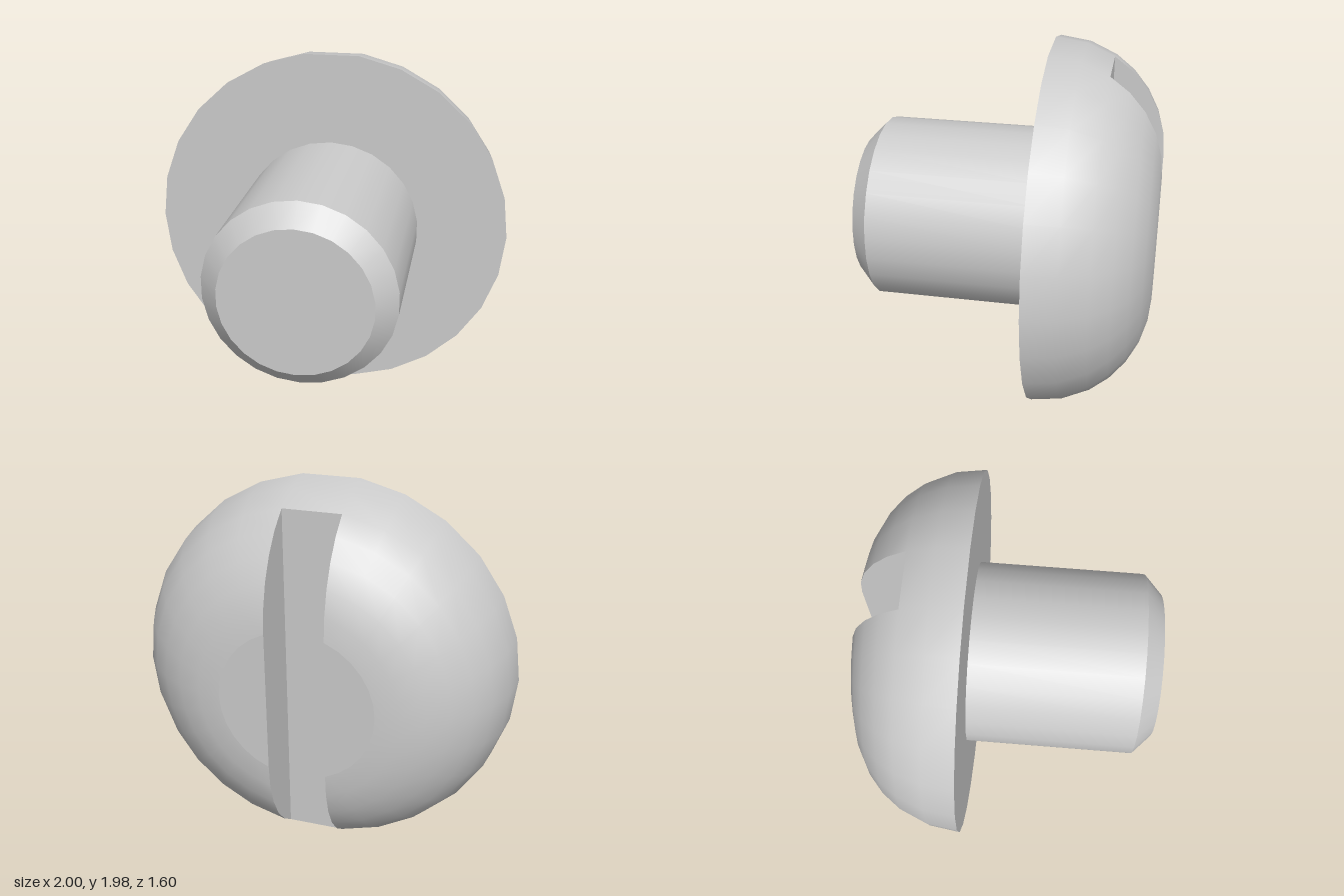
import * as THREE from 'three';

const material = new THREE.MeshStandardMaterial({ color: 0xcccccc });
const SLOT = 0.15;      // half width of the slot
const AXIS_Y = 1;       // height of the screw axis
const ARC = 12;         // segments on each side of the slot
const RING = 2 * (ARC + 1);
const FLOOR = 2;        // profile level where the slot floor lies

// Dome profile: quarter circle from the rim to a flat crown, as [radius, z]
const profile = [0, 16, 31.1, 43, 55, 67, 79, 90].map((deg) => {
  const t = THREE.MathUtils.degToRad(deg);
  return [0.4 + 0.6 * Math.cos(t), -0.2 - 0.6 * Math.sin(t)];
});
const TOP = profile.length - 1;

// Each ring has a right arc and a left arc, both ending exactly at the slot walls
const rings = profile.map(([r, z]) => {
  const a = Math.acos(SLOT / r);
  return Array.from({ length: RING }, (_, j) => {
    const left = j > ARC;
    const t = (left ? Math.PI : 0) - a + (2 * a * (left ? j - ARC - 1 : j)) / ARC;
    return new THREE.Vector3(r * Math.cos(t), AXIS_Y + r * Math.sin(t), z);
  });
});

function mesh(name, geometry) {
  const m = new THREE.Mesh(geometry, material);
  m.name = name;
  return m;
}

// Flat convex polygon, corners counter-clockwise from its front
function polygon(name, points) {
  const g = new THREE.BufferGeometry().setFromPoints(points);
  const index = [];
  for (let i = 1; i < points.length - 1; i++) index.push(0, i, i + 1);
  g.setIndex(index);
  g.computeVertexNormals();
  return mesh(name, g);
}

// Rounded skin of the head, left open across the slot
function dome() {
  const g = new THREE.BufferGeometry().setFromPoints(rings.flat());
  const index = [];
  for (let i = 0; i < TOP; i++) {
    for (let j = 0; j < RING; j++) {
      if (i >= FLOOR && (j === ARC || j === RING - 1)) continue;
      const k = (j + 1) % RING;
      const a = i * RING + j, b = i * RING + k;
      index.push(a, a + RING, b + RING, a, b + RING, b);
    }
  }
  g.setIndex(index);
  g.computeVertexNormals();
  return mesh('dome', g);
}

// Outline of a slot wall, running up one end and down the other
function wall(low, high) {
  const levels = rings.slice(FLOOR);
  return [...levels.map((r) => r[low]), ...levels.map((r) => r[high]).reverse()];
}

// Cylinder section along z, between z0 and z1
function section(name, r0, r1, z0, z1, open) {
  const g = new THREE.CylinderGeometry(r1, r0, z1 - z0, 26, 1, open);
  g.rotateX(Math.PI / 2);
  g.translate(0, AXIS_Y, (z0 + z1) / 2);
  return mesh(name, g);
}

export function createModel() {
  const model = new THREE.Group();
  model.name = 'slottedScrew';

  const head = new THREE.Group();
  head.name = 'head';
  const crown = rings[TOP];
  const f = rings[FLOOR];
  head.add(
    dome(),
    polygon('headUnderside', rings[0]),
    polygon('crownLeft', crown.slice(0, ARC + 1).reverse()),
    polygon('crownRight', crown.slice(ARC + 1).reverse()),
    polygon('slotFloor', [f[RING - 1], f[ARC + 1], f[ARC], f[0]]),
    polygon('slotWallLeft', wall(0, ARC).reverse()),
    polygon('slotWallRight', wall(RING - 1, ARC + 1)),
  );

  // Shank with a chamfered tip
  const shank = new THREE.Group();
  shank.name = 'shank';
  shank.add(
    section('shankBody', 0.5, 0.5, -0.2, 0.7, true),
    section('chamferedTip', 0.5, 0.395, 0.7, 0.8, false),
  );

  model.add(head, shank);
  return model;
}
